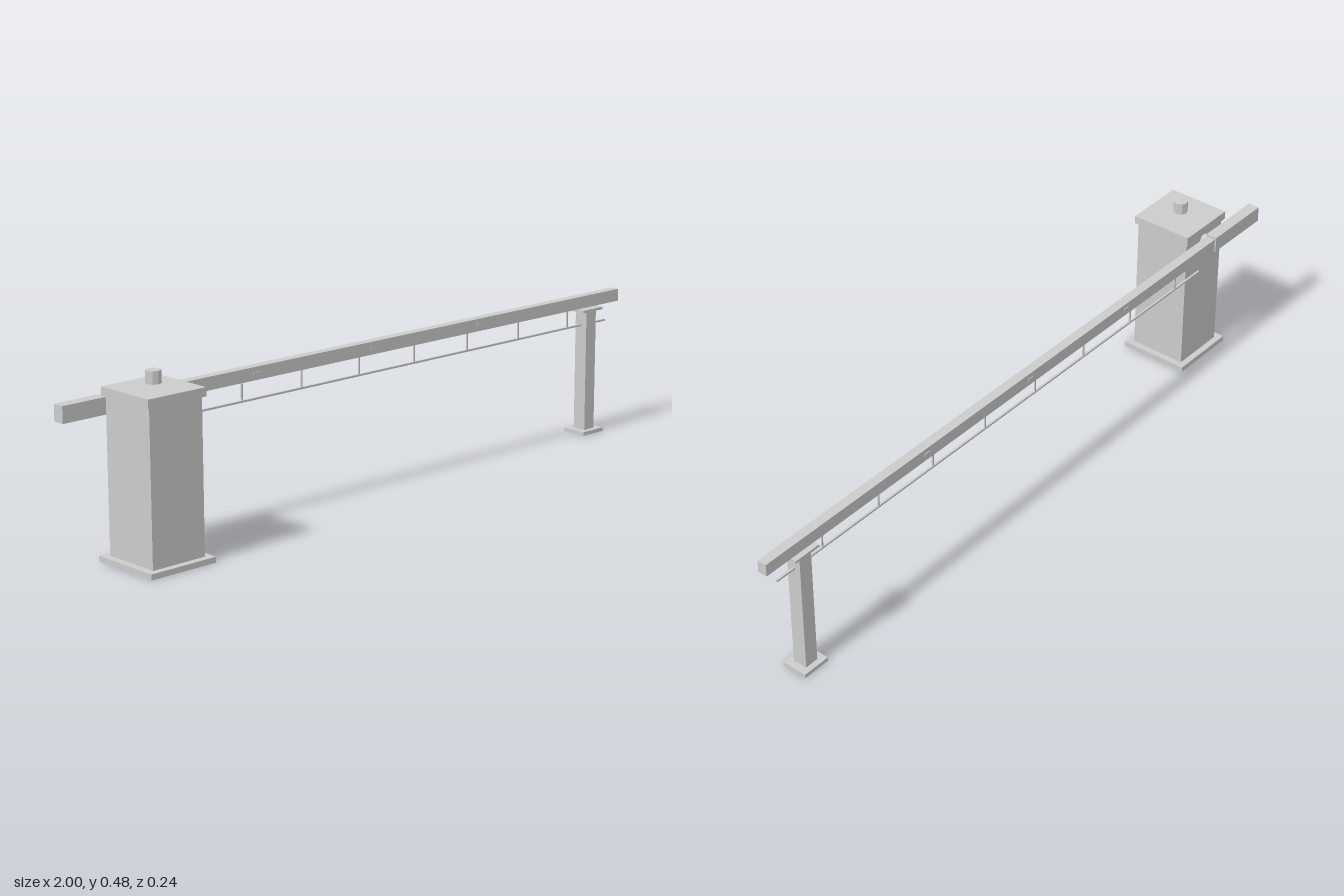
import * as THREE from 'three';

const material = new THREE.MeshStandardMaterial({ color: 0xcccccc, flatShading: true });

// Box given by its min/max extents on each axis
function box(parent, name, [x0, x1], [y0, y1], [z0, z1]) {
  const mesh = new THREE.Mesh(new THREE.BoxGeometry(x1 - x0, y1 - y0, z1 - z0), material);
  mesh.position.set((x0 + x1) / 2, (y0 + y1) / 2, (z0 + z1) / 2);
  mesh.name = name;
  parent.add(mesh);
  return mesh;
}

function group(parent, name) {
  const g = new THREE.Group();
  g.name = name;
  parent.add(g);
  return g;
}

export function createModel() {
  const model = new THREE.Group();
  model.name = 'barrierGate';

  // Drive cabinet with base plate, lid and warning lamp
  const cabinet = group(model, 'cabinet');
  box(cabinet, 'cabinetBase', [-0.897, -0.696], [0, 0.015], [-0.08, 0.123]);
  box(cabinet, 'cabinetBody', [-0.877, -0.715], [0.015, 0.418], [-0.062, 0.104]);
  box(cabinet, 'cabinetLid', [-0.885, -0.707], [0.418, 0.441], [-0.069, 0.111]);
  const lamp = new THREE.Mesh(new THREE.CylinderGeometry(0.02, 0.02, 0.033, 8), material);
  lamp.position.set(-0.796, 0.467, 0.021);
  lamp.name = 'warningLamp';
  cabinet.add(lamp);

  // Boom, counterweight and pivot
  const boom = group(model, 'boom');
  box(boom, 'boomBeam', [-0.796, 1], [0.371, 0.406], [-0.1, -0.073]);
  box(boom, 'counterweight', [-1, -0.795], [0.368, 0.412], [-0.104, -0.071]);
  const pivot = new THREE.Mesh(new THREE.CylinderGeometry(0.02, 0.02, 0.02, 8), material);
  pivot.rotation.x = Math.PI / 2;
  pivot.position.set(-0.796, 0.389, -0.066);
  pivot.name = 'pivot';
  boom.add(pivot);

  // Small reflectors on both faces of the beam
  for (const x of [-0.39, 0.018, 0.424]) {
    box(boom, 'reflector', [x - 0.01, x + 0.01], [0.384, 0.393], [-0.102, -0.071]);
  }

  // Lower rail hung from the beam
  const skirt = group(model, 'skirt');
  box(skirt, 'lowerRail', [-0.746, 0.955], [0.317, 0.322], [-0.088, -0.082]);
  for (let i = 0; i < 8; i++) {
    const x = -0.632 + i * 0.2038;
    box(skirt, 'hanger', [x - 0.002, x + 0.002], [0.32, 0.372], [-0.087, -0.083]);
  }

  // Rest post at the free end
  const post = group(model, 'restPost');
  box(post, 'postBase', [0.833, 0.915], [0, 0.011], [-0.121, -0.048]);
  box(post, 'postColumn', [0.854, 0.894], [0.011, 0.361], [-0.105, -0.064]);
  box(post, 'postRest', [0.833, 0.915], [0.361, 0.368], [-0.113, -0.057]);

  return model;
}
